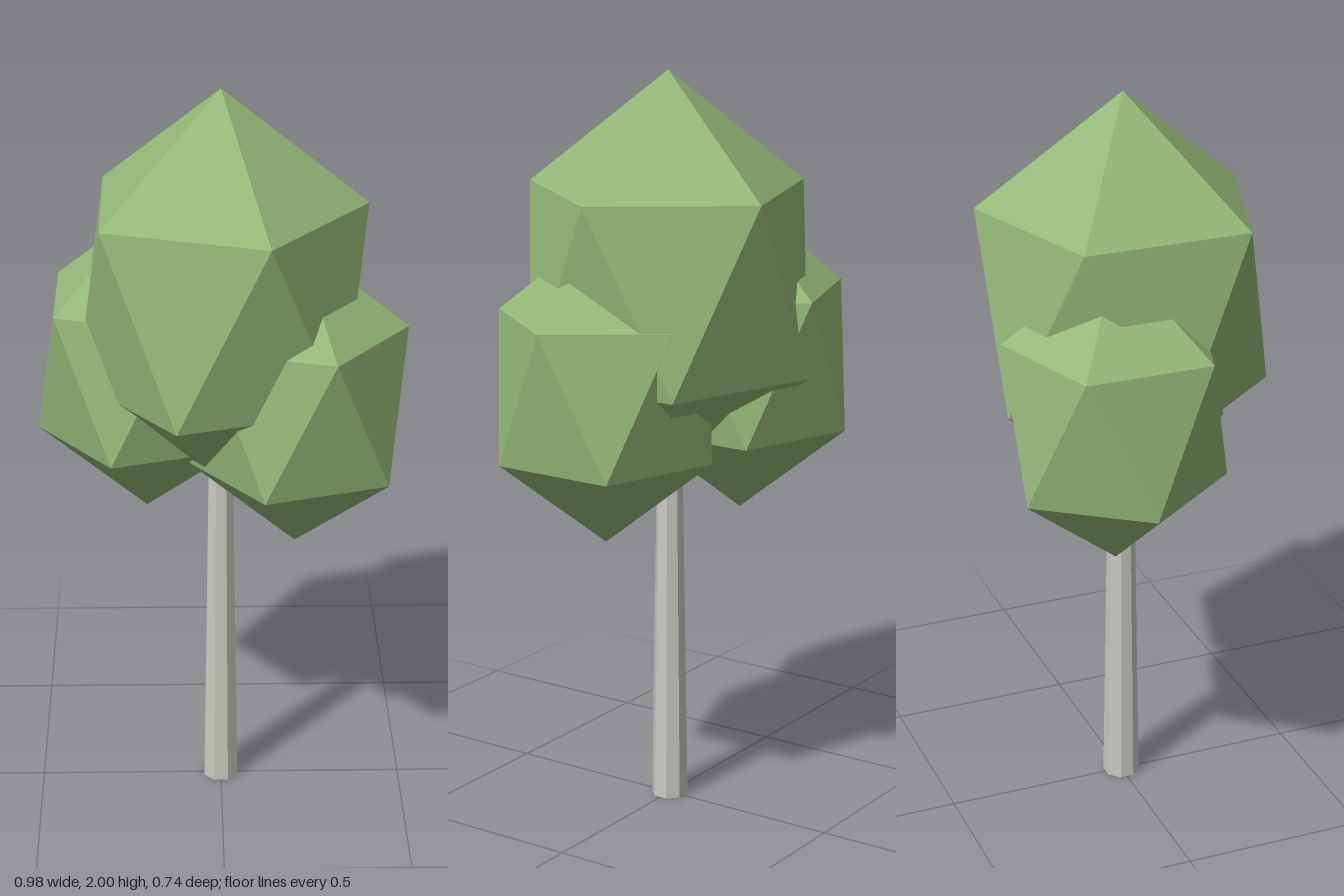
import * as THREE from 'three';

export function createModel() {
  const tree = new THREE.Group();
  tree.name = 'tree';

  const leafGreen = new THREE.MeshStandardMaterial({ color: 0x94b878, flatShading: true });
  leafGreen.name = 'leafGreen';
  const barkGrey = new THREE.MeshStandardMaterial({ color: 0xc9c9c1, flatShading: true });
  barkGrey.name = 'barkGrey';

  // Tapered eight-sided trunk, its top buried in the foliage
  const trunkGeometry = new THREE.CylinderGeometry(0.033, 0.05, 1.1, 8);
  trunkGeometry.rotateY(Math.PI / 8);
  const trunk = new THREE.Mesh(trunkGeometry, barkGrey);
  trunk.name = 'trunk';
  trunk.position.y = 0.55;
  tree.add(trunk);

  // Foliage clump: an icosahedron standing on a corner, stretched upwards
  const tilt = Math.atan((1 + Math.sqrt(5)) / 2);
  function addClump(name, radius, halfHeight, x, y, z) {
    const geometry = new THREE.IcosahedronGeometry(1, 0);
    geometry.rotateX(-tilt);
    geometry.rotateY(Math.PI / 2);
    geometry.scale(radius, halfHeight, radius);
    const clump = new THREE.Mesh(geometry, leafGreen);
    clump.name = name;
    clump.position.set(x, y, z);
    tree.add(clump);
  }

  addClump('crown', 0.427, 0.55, 0, 1.45, 0.005);
  addClump('leftFoliage', 0.325, 0.425, 0.197, 1.19, 0.07);
  addClump('rightFoliage', 0.325, 0.425, -0.2, 1.22, -0.095);

  return tree;
}
